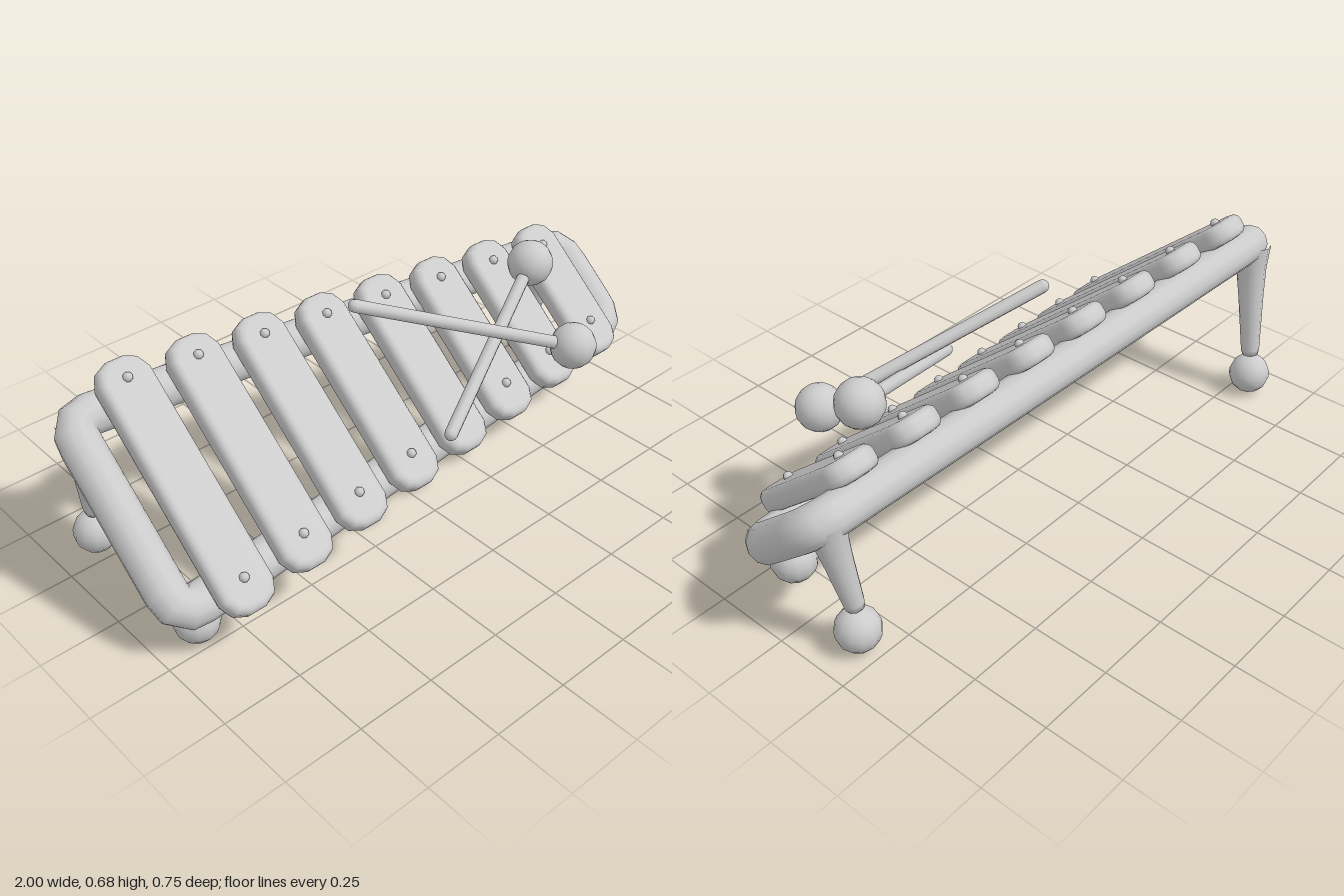
import * as THREE from 'three';
import { mergeVertices } from 'three/addons/utils/BufferGeometryUtils.js';

const TILT = THREE.MathUtils.degToRad(40);
const V = (x, y, z) => new THREE.Vector3(x, y, z);

export function createModel() {
  const model = new THREE.Group();
  model.name = 'xylophone';
  const grey = new THREE.MeshStandardMaterial({ color: 0xcccccc });
  grey.name = 'light grey';

  const add = (parent, name, geometry, pos) => {
    const mesh = new THREE.Mesh(geometry, grey);
    mesh.name = name;
    if (pos) mesh.position.copy(pos);
    parent.add(mesh);
    return mesh;
  };

  // Soft shading over all edges
  const soften = (g) => {
    g.deleteAttribute('uv');
    g.deleteAttribute('normal');
    const merged = mergeVertices(g, 1e-4);
    merged.computeVertexNormals();
    return merged;
  };

  // Turn a mesh's y axis to run from a to b
  const aim = (mesh, a, b) => {
    mesh.position.copy(a).lerp(b, 0.5);
    mesh.quaternion.setFromUnitVectors(V(0, 1, 0), b.clone().sub(a).normalize());
  };

  // Tilted deck carrying the frame, bars and pins
  const deck = new THREE.Group();
  deck.name = 'deck';
  deck.position.y = 0.344;
  deck.rotation.x = TILT;
  model.add(deck);

  // Frame: a round rail following a trapezoid with rounded corners
  const corners = [V(-0.94, 0, 0.305), V(0.94, 0, 0.16), V(0.94, 0, -0.16), V(-0.94, 0, -0.305)];
  const path = new THREE.CurvePath();
  const near = (from, to) => from.clone().add(to.clone().sub(from).setLength(0.07));
  corners.forEach((c, i) => {
    const prev = corners[(i + 3) % 4], next = corners[(i + 1) % 4];
    path.add(new THREE.QuadraticBezierCurve3(near(c, prev), c, near(c, next)));
    path.add(new THREE.LineCurve3(near(c, next), near(next, c)));
  });
  add(deck, 'frame', new THREE.TubeGeometry(path, 120, 0.062, 12, true));

  // Bars shrinking toward the left end, each with two pins
  const barGeometry = (width, length, thick) => {
    const b = 0.024, w = width / 2 - b, l = length / 2 - b, c = 0.04;
    const s = new THREE.Shape([
      [w, -l + c], [w, l - c], [w - c * 0.35, l - c * 0.3], [w - c, l],
      [-w + c, l], [-w + c * 0.35, l - c * 0.3], [-w, l - c], [-w, -l + c],
      [-w + c * 0.35, -l + c * 0.3], [-w + c, -l], [w - c, -l], [w - c * 0.35, -l + c * 0.3],
    ].map(([x, y]) => new THREE.Vector2(x, y)));
    const g = new THREE.ExtrudeGeometry(s, {
      depth: thick - 2 * b, bevelEnabled: true, bevelSize: b, bevelThickness: b, bevelSegments: 3,
    });
    g.translate(0, 0, b - thick / 2);
    g.rotateX(-Math.PI / 2);
    return soften(g);
  };
  const pinGeometry = new THREE.SphereGeometry(0.015, 8, 6);
  for (let i = 0; i < 8; i++) {
    const t = i / 7;
    const x = -0.775 + 1.545 * t;
    add(deck, 'bar' + (i + 1), barGeometry(0.17, 0.79 - 0.3 * t, 0.07), V(x, 0.084, 0.004));
    for (const side of [-1, 1]) {
      add(deck, 'pin', pinGeometry, V(x, 0.121, side * (0.314 - 0.164 * t) - 0.01));
    }
  }

  // Back legs: flared at the frame, narrow at the foot
  const leg = (name, top, foot) => {
    const h = top.distanceTo(foot);
    const profile = [[0, 0], [0.027, 0], [0.031, 0.02], [0.042, h * 0.55], [0.05, h * 0.8], [0.064, h]]
      .map(([r, y]) => new THREE.Vector2(r, y - h / 2));
    aim(add(model, name, new THREE.LatheGeometry(profile, 10)), foot, top);
  };
  leg('leftBackLeg', V(0.9, 0.44, -0.12), V(0.87, 0.148, -0.176));
  leg('rightBackLeg', V(-0.91, 0.53, -0.238), V(-0.87, 0.145, -0.303));

  // Ball feet
  const footGeometry = new THREE.SphereGeometry(0.069, 12, 9);
  add(model, 'leftBackFoot', footGeometry, V(0.87, 0.068, -0.178));
  add(model, 'rightBackFoot', footGeometry, V(-0.87, 0.068, -0.308));
  add(model, 'leftFrontFoot', footGeometry, V(0.865, 0.166, 0.078));
  add(model, 'rightFrontFoot', footGeometry, V(-0.87, 0.074, 0.204));

  // Two crossed mallets
  const mallet = (name, tip, head) => {
    const group = new THREE.Group();
    group.name = name;
    model.add(group);
    const stick = new THREE.CapsuleGeometry(0.021, tip.distanceTo(head) - 0.03, 3, 10);
    aim(add(group, 'stick', stick), tip, head);
    add(group, 'head', new THREE.SphereGeometry(0.074, 14, 10), head);
  };
  mallet('upperMallet', V(-0.1, 0.664, -0.025), V(0.54, 0.403, 0.303));
  mallet('lowerMallet', V(-0.015, 0.325, 0.315), V(0.6, 0.573, 0.051));

  return model;
}
